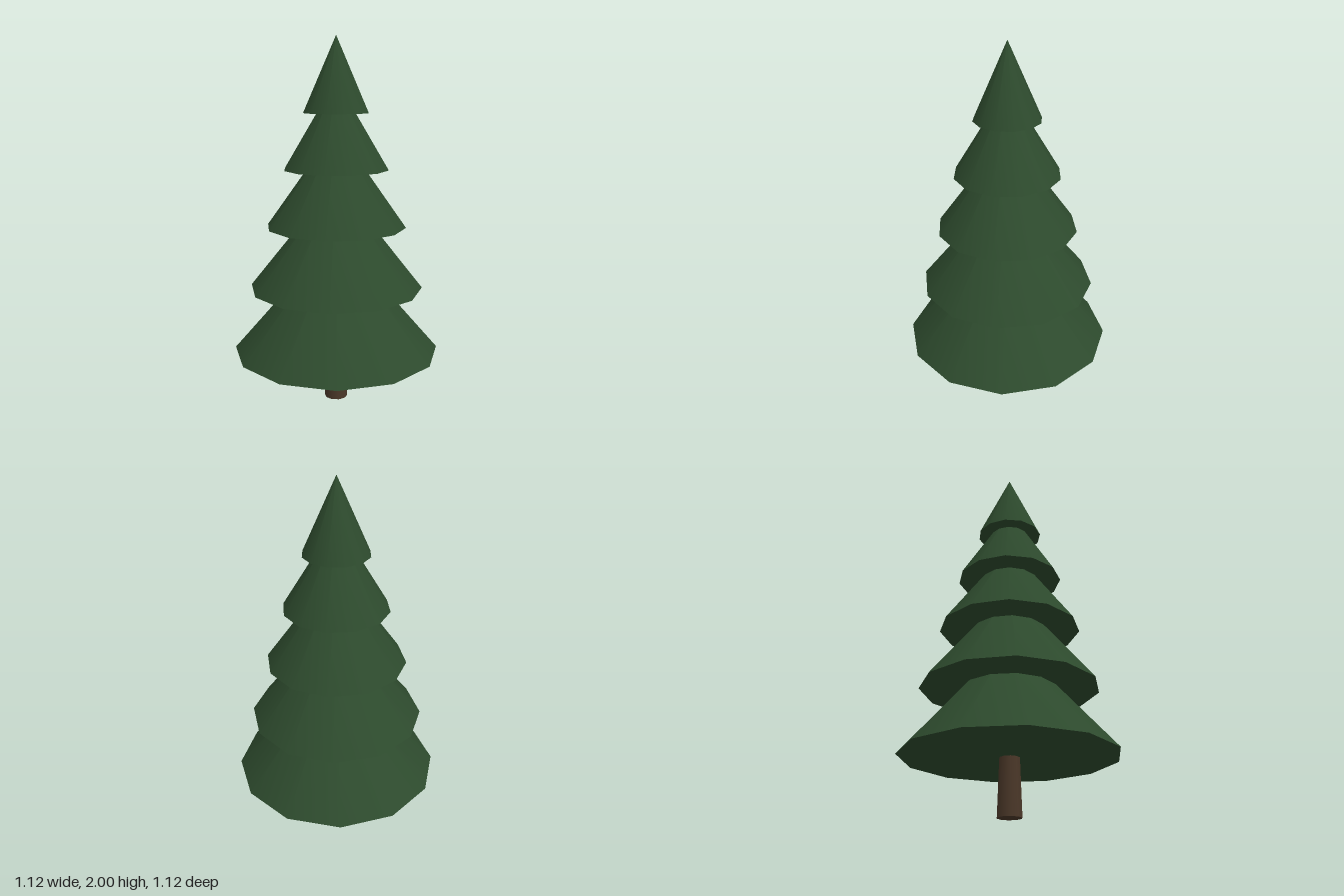
import * as THREE from 'three';

export function createModel() {
  const tree = new THREE.Group();
  tree.name = 'pineTree';

  const needles = new THREE.MeshStandardMaterial({ color: 0x2d4a2d });
  needles.name = 'needleGreen';
  const bark = new THREE.MeshStandardMaterial({ color: 0x4a3728 });
  bark.name = 'barkBrown';

  // Tapered trunk, reaching a little into the lowest tier
  const trunkHeight = 0.36;
  const trunk = new THREE.Mesh(new THREE.CylinderGeometry(0.051, 0.064, trunkHeight, 10), bark);
  trunk.name = 'trunk';
  trunk.position.y = trunkHeight / 2;
  tree.add(trunk);

  // Foliage tiers from bottom to top: [radius, base height, tip height]
  const tiers = [
    [0.567, 0.295, 0.945],
    [0.474, 0.653, 1.246],
    [0.380, 0.994, 1.526],
    [0.285, 1.305, 1.776],
    [0.178, 1.603, 2.0],
  ];
  tiers.forEach(([radius, base, tip], i) => {
    const tier = new THREE.Mesh(new THREE.ConeGeometry(radius, tip - base, 12), needles);
    tier.name = `foliageTier${i + 1}`;
    tier.position.y = (base + tip) / 2;
    // Each tier is twisted against the one below
    tier.rotation.y = 0.158 + i * 0.45;
    tree.add(tier);
  });

  return tree;
}
